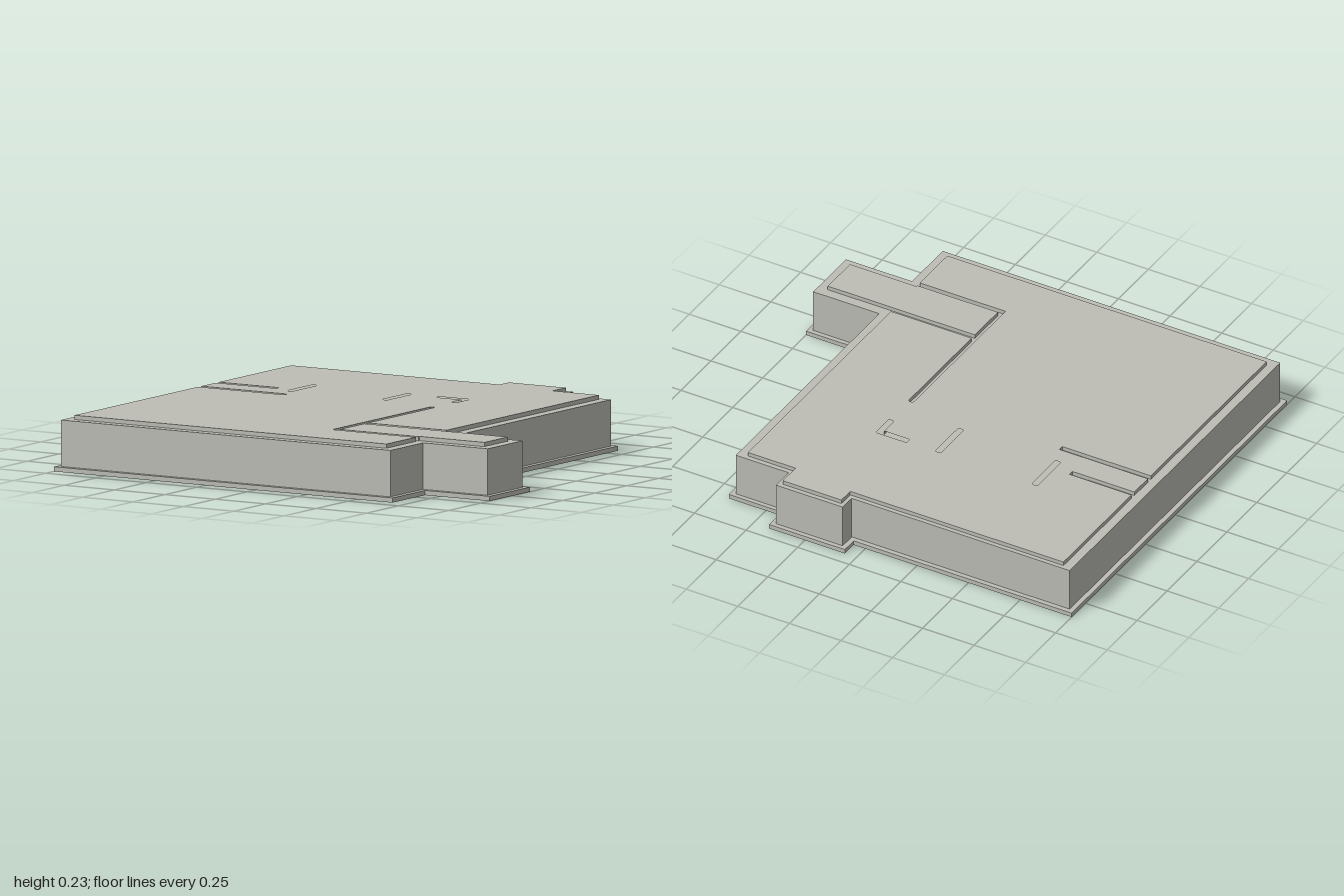
import * as THREE from 'three';

// Upright slab from a plan outline of [x, z] points, with optional holes
function slab(name, outline, y0, y1, material, holes = []) {
  const flip = (pts) => pts.map(([x, z]) => new THREE.Vector2(x, -z));
  const shape = new THREE.Shape(flip(outline));
  holes.forEach((h) => shape.holes.push(new THREE.Path(flip(h))));
  const geometry = new THREE.ExtrudeGeometry(shape, { depth: y1 - y0, bevelEnabled: false });
  geometry.rotateX(-Math.PI / 2);
  const mesh = new THREE.Mesh(geometry, material);
  mesh.name = name;
  mesh.position.y = y0;
  return mesh;
}

// Narrow slot with clipped corners
function slot(x0, z0, x1, z1, c = 0.006) {
  return [
    [x0 + c, z0], [x1 - c, z0], [x1, z0 + c], [x1, z1 - c],
    [x1 - c, z1], [x0 + c, z1], [x0, z1 - c], [x0, z0 + c],
  ];
}

export function createModel() {
  const plaster = new THREE.MeshStandardMaterial({ color: 0xbdbdb6 });
  plaster.name = 'warm grey plaster';
  const model = new THREE.Group();
  model.name = 'floorPlanBuilding';

  // Floor slab, slightly wider than the walls
  const floor = [
    [-1, -0.866], [0.056, -0.866], [0.056, -0.94], [0.423, -0.94], [0.423, -0.834],
    [0.68, -0.834], [0.68, 0.364], [1, 0.364], [1, 0.68], [0.68, 0.68],
    [0.68, 0.936], [-1, 0.936],
  ];
  model.add(slab('floorSlab', floor, 0, 0.02, plaster));

  // Wall block
  const walls = [
    [-0.978, -0.845], [0.078, -0.845], [0.078, -0.92], [0.401, -0.92], [0.401, -0.815],
    [0.657, -0.815], [0.657, 0.384], [0.977, 0.384], [0.977, 0.658], [0.657, 0.658],
    [0.657, 0.915], [-0.978, 0.915],
  ];
  model.add(slab('walls', walls, 0.02, 0.217, plaster));

  // Raised main ceiling, notched where the inner walls meet its edge
  const ceiling = [
    [-0.937, -0.826], [0.096, -0.826], [0.096, -0.9], [0.38, -0.9], [0.38, -0.794],
    [0.61, -0.794], [0.61, 0.401], [0.219, 0.401],
    [0.219, -0.124], [0.213, -0.13], [0.201, -0.13], [0.195, -0.124],
    [0.195, 0.642], [0.61, 0.642], [0.61, 0.872], [-0.937, 0.872],
    [-0.937, -0.096], [-0.509, -0.096], [-0.509, -0.12], [-0.937, -0.12],
    [-0.937, -0.233], [-0.637, -0.233], [-0.637, -0.257], [-0.937, -0.257],
  ];
  const cornerSlot = [
    [0.07, -0.398], [0.214, -0.398], [0.22, -0.392], [0.22, -0.295], [0.214, -0.289],
    [0.201, -0.289], [0.195, -0.295], [0.195, -0.372], [0.07, -0.372],
  ];
  const slots = [
    slot(-0.562, -0.398, -0.535, -0.198),
    slot(-0.091, -0.393, -0.064, -0.198),
    cornerSlot,
  ];
  model.add(slab('mainCeiling', ceiling, 0.217, 0.235, plaster, slots));

  // Ceiling of the side room
  const sideRoom = [
    [0.219, 0.428], [0.932, 0.428], [0.932, 0.613], [0.61, 0.613], [0.61, 0.62], [0.219, 0.62],
  ];
  model.add(slab('sideRoomCeiling', sideRoom, 0.217, 0.235, plaster));

  return model;
}
